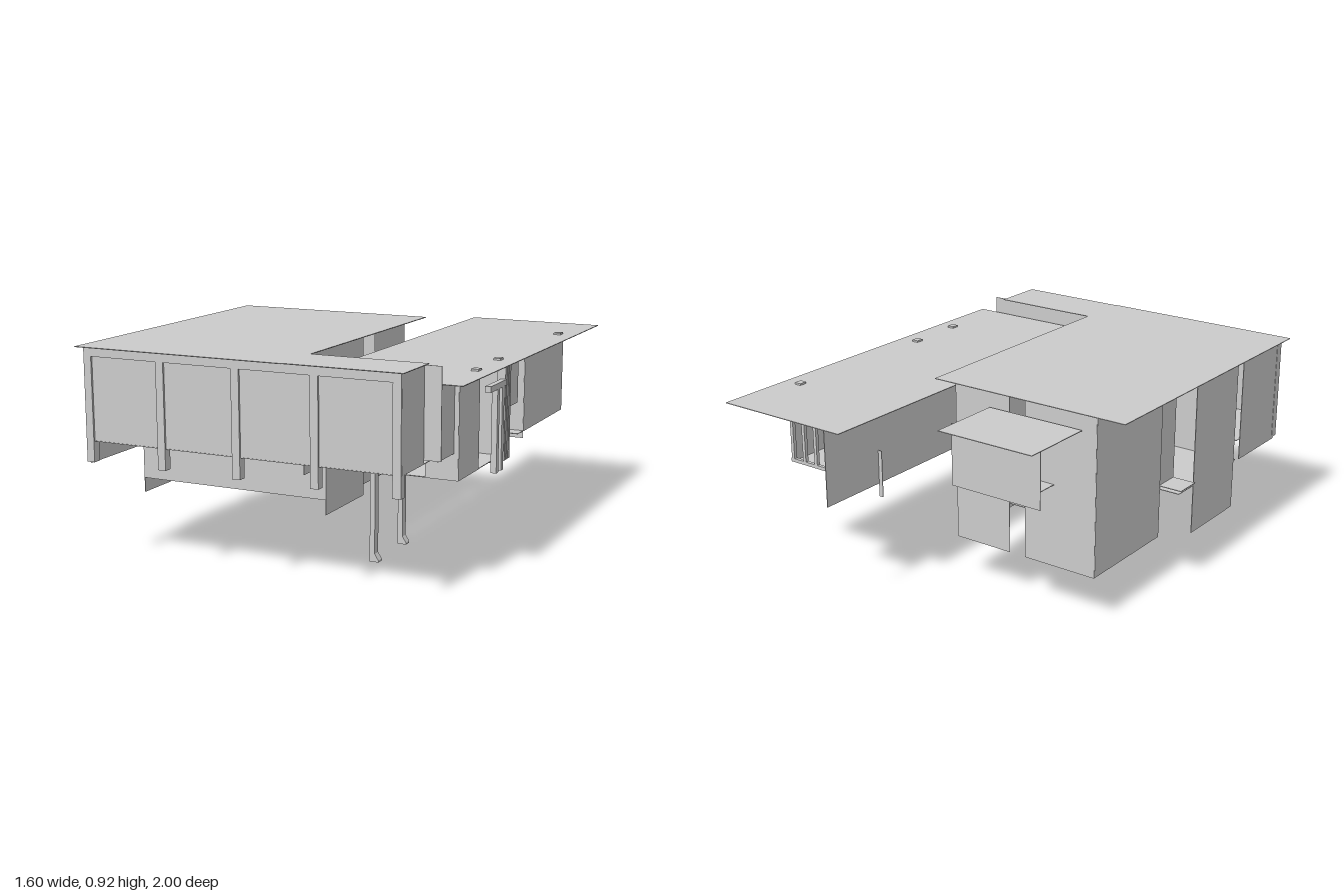
import * as THREE from 'three';

const T = 0.003; // sheet thickness

export function createModel() {
  const model = new THREE.Group();
  const mat = new THREE.MeshStandardMaterial({ color: 0xcccccc, flatShading: true });

  // box given by its limits along each axis
  function block(name, x0, x1, y0, y1, z0, z1) {
    const mesh = new THREE.Mesh(new THREE.BoxGeometry(x1 - x0, y1 - y0, z1 - z0), mat);
    mesh.position.set((x0 + x1) / 2, (y0 + y1) / 2, (z0 + z1) / 2);
    mesh.name = name;
    model.add(mesh);
  }
  // thin sheets: facing x, facing z and lying flat
  const wallX = (name, x, z0, z1, y0, y1) => block(name, x - T / 2, x + T / 2, y0, y1, z0, z1);
  const wallZ = (name, z, x0, x1, y0, y1) => block(name, x0, x1, y0, y1, z - T / 2, z + T / 2);
  const slab = (name, y, x0, x1, z0, z1) => block(name, x0, x1, y - T, y, z0, z1);

  // roofs
  slab('mainRoof', 0.918, -0.8, 0.15, -0.41, 0.997);
  slab('frontRoofStrip', 0.918, 0.15, 0.656, 0.75, 0.992);
  slab('wingRoof', 0.843, 0.163, 0.797, -1, 0.76);
  slab('annexRoof', 0.85, -0.6, -0.14, -0.75, -0.41);

  // floors
  slab('frontFloor', 0.53, -0.76, 0.645, 0.6, 0.98);
  slab('mainFloor', 0.44, -0.76, 0.127, 0.1, 0.6);
  slab('backFloor', 0.44, -0.665, 0.045, -0.4, 0.1);
  slab('hallFloor', 0.433, 0.28, 0.72, 0.12, 0.6);
  slab('wingFloor', 0.493, 0.27, 0.735, -0.65, -0.05);
  slab('bayFloor', 0.635, 0.27, 0.48, -0.93, -0.65);
  slab('annexFloor', 0.58, -0.46, -0.14, -0.52, -0.4);

  // front facade: panel framed by a top band and a row of columns
  wallZ('frontPanel', 0.977, -0.76, 0.645, 0.53, 0.915);
  block('frontTopBand', -0.763, 0.646, 0.88, 0.915, 0.975, 0.987);
  for (let i = 0; i < 5; i++) {
    const x = -0.763 + i * 0.3435;
    block('frontColumn', x, x + 0.035, 0.44, 0.915, 0.95, 0.987);
  }
  wallX('frontSideWall', 0.645, 0.772, 0.98, 0.53, 0.915);
  wallZ('clerestoryWall', 0.772, 0.127, 0.718, 0.545, 0.915);

  // west side walls with a balcony in the gap
  wallX('westFrontWall', -0.76, 0.63, 0.965, 0.43, 0.915);
  wallX('westMiddleWall', -0.76, 0.22, 0.58, 0.215, 0.915);
  wallX('westBackWall', -0.665, -0.4, 0.1, 0.215, 0.915);
  slab('balconyFloor', 0.455, -0.77, -0.66, 0.1, 0.22);
  wallX('balconyDoor', -0.66, 0.1, 0.22, 0.455, 0.915);

  // lower and back walls of the main block
  wallZ('lowerFrontWall', 0.58, -0.76, 0.127, 0.28, 0.915);
  wallZ('backWall', -0.4, -0.665, -0.315, 0.212, 0.915);
  wallZ('backWall', -0.4, -0.235, 0.045, 0.212, 0.915);
  wallX('eastBackWall', 0.045, -0.4, 0.1, 0.215, 0.915);
  wallX('eastMiddleWall', 0.127, 0.22, 0.58, 0.215, 0.915);
  wallX('eastFrontWall', 0.127, 0.58, 0.772, 0.43, 0.915);
  wallZ('eastReturnWall', 0.1, 0.045, 0.127, 0.44, 0.915);
  for (const x of [-0.45, -0.19]) wallX('basementWall', x, -0.1, 0.1, 0.15, 0.44);

  // stairs inside
  for (let i = 0; i < 6; i++) {
    const z = -0.05 + i * 0.025;
    slab('stairTread', 0.3 + i * 0.025, -0.44, -0.32, z, z + 0.028);
  }

  // annex behind the main block
  wallZ('annexBackWall', -0.65, -0.57, -0.13, 0.58, 0.85);

  // wing walls
  wallX('wingEastWall', 0.735, -0.65, -0.12, 0.49, 0.84);
  wallZ('wingFrontWall', -0.12, 0.6, 0.735, 0.46, 0.84);
  wallX('wingWestWall', 0.27, -0.97, -0.05, 0.49, 0.84);
  wallZ('wingBackWall', -0.65, 0.48, 0.735, 0.49, 0.84);
  wallZ('wingFin', -0.65, 0.25, 0.27, 0.43, 0.64);
  wallZ('hallBackWall', 0.12, 0.295, 0.73, 0.395, 0.84);
  wallX('bayWall', 0.48, -0.93, -0.65, 0.635, 0.84);

  // glazed end of the bay
  for (let i = 0; i < 4; i++) {
    const x = 0.275 + i * 0.064;
    block('bayPost', x, x + 0.015, 0.635, 0.84, -0.945, -0.93);
  }
  block('bayRail', 0.27, 0.485, 0.635, 0.65, -0.945, -0.93);

  // east side between the front block and the wing
  wallX('hallFrontWall', 0.7, 0.6, 0.765, 0.54, 0.84);
  wallX('hallSideWall', 0.72, 0.38, 0.6, 0.43, 0.84);
  wallZ('hallEndWall', 0.6, 0.58, 0.72, 0.43, 0.84);
  wallX('hallWindowWall', 0.73, -0.05, 0.13, 0.63, 0.84);
  wallX('hallInnerWall', 0.28, 0.3, 0.6, 0.43, 0.84);

  // porch frame and louvre posts
  block('porchBeam', 0.745, 0.77, 0.75, 0.775, 0.2, 0.385);
  for (const z of [0.225, 0.28]) {
    block('porchPost', 0.745, 0.77, 0.4, 0.75, z, z + 0.025);
    block('innerPost', 0.23, 0.255, 0.4, 0.84, z, z + 0.025);
  }
  for (let i = 0; i < 5; i++) {
    const z = 0.135 + i * 0.015;
    block('louvrePost', 0.73, 0.765, 0.43, 0.84, z, z + 0.006);
  }

  // tall legs with a flared foot
  const leg = new THREE.Shape([[0.27, 0], [0.31, 0], [0.31, 0.008], [0.293, 0.035], [0.293, 0.53], [0.27, 0.53]]
    .map(([x, y]) => new THREE.Vector2(x, y)));
  const legGeometry = new THREE.ExtrudeGeometry(leg, { depth: 0.035, bevelEnabled: false });
  for (const z of [0.42, 0.133]) {
    const mesh = new THREE.Mesh(legGeometry, mat);
    mesh.position.z = z;
    mesh.name = 'leg';
    model.add(mesh);
  }

  // small roof vents
  for (const [x, z] of [[0.715, -0.64], [0.71, 0.14], [0.72, 0.42]]) {
    block('roofVent', x - 0.016, x + 0.016, 0.843, 0.851, z - 0.018, z + 0.018);
  }
  return model;
}
